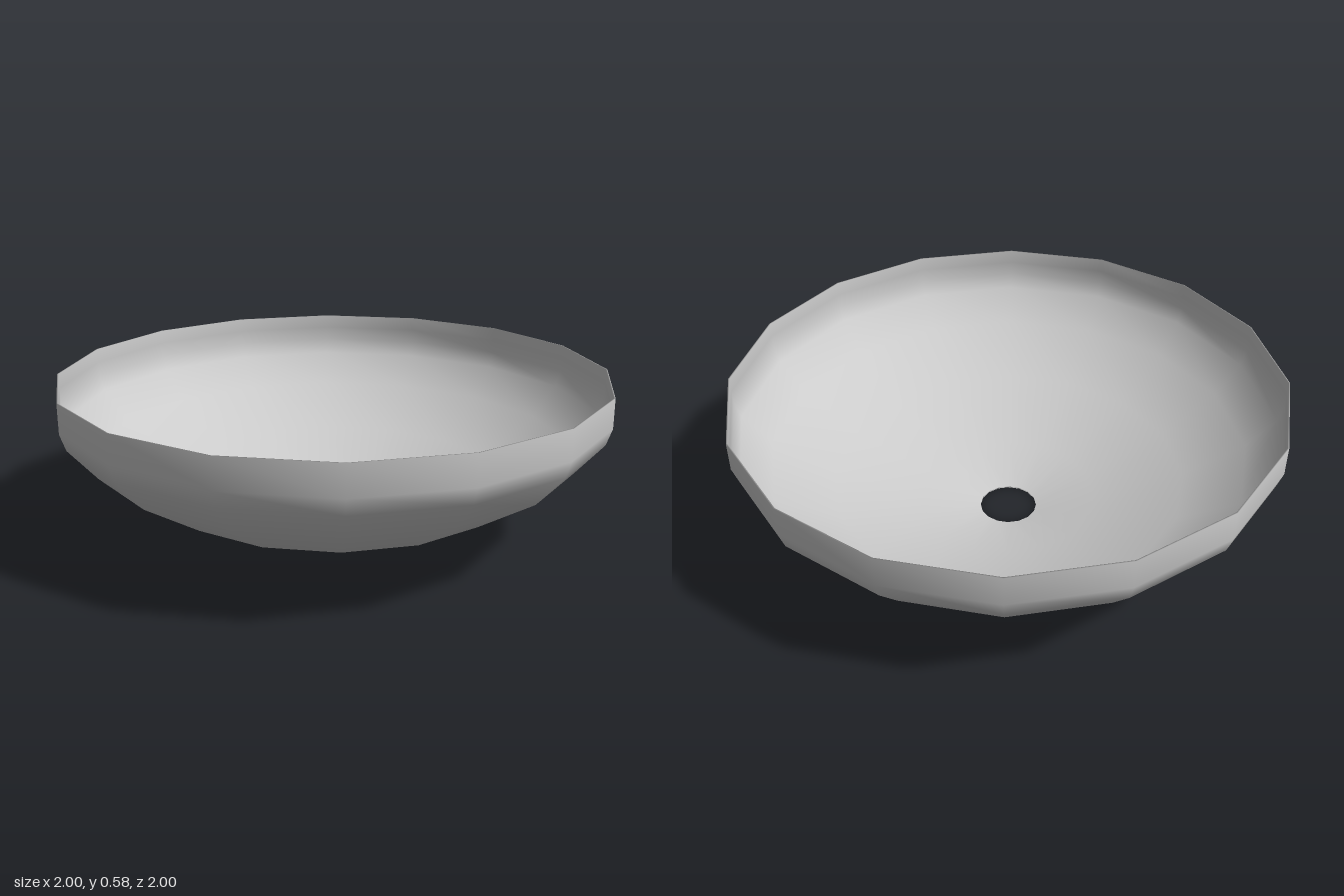
import * as THREE from 'three';

export function createModel() {
  const group = new THREE.Group();
  const material = new THREE.MeshStandardMaterial({ color: 0xcccccc });

  // Outer profile of the bowl, from the drain hole up to the rim
  const outer = [
    [0.107, 0], [0.33, 0.05], [0.66, 0.155], [0.88, 0.295],
    [0.98, 0.41], [1, 0.47], [1, 0.577],
  ].map(([r, y]) => new THREE.Vector2(r, y));

  // Inner profile: a thin wall, offset inward and up, level with the rim
  const wall = 0.005;
  const last = outer.length - 1;
  const inner = outer.map((p, i) => {
    const slope = i / last; // floor offsets upward, sides offset inward
    return new THREE.Vector2(
      p.x - wall * slope,
      i === last ? p.y : p.y + wall * (1 - slope),
    );
  }).reverse();

  // Closed loop starting halfway down the straight inner side, so the seam stays smooth
  const start = inner[0].clone().lerp(inner[1], 0.5);
  const loop = [start, ...inner.slice(1), ...outer, inner[0], start.clone()];

  const bowl = new THREE.Mesh(new THREE.LatheGeometry(loop, 16), material);
  bowl.name = 'bowl';
  group.add(bowl);
  return group;
}
